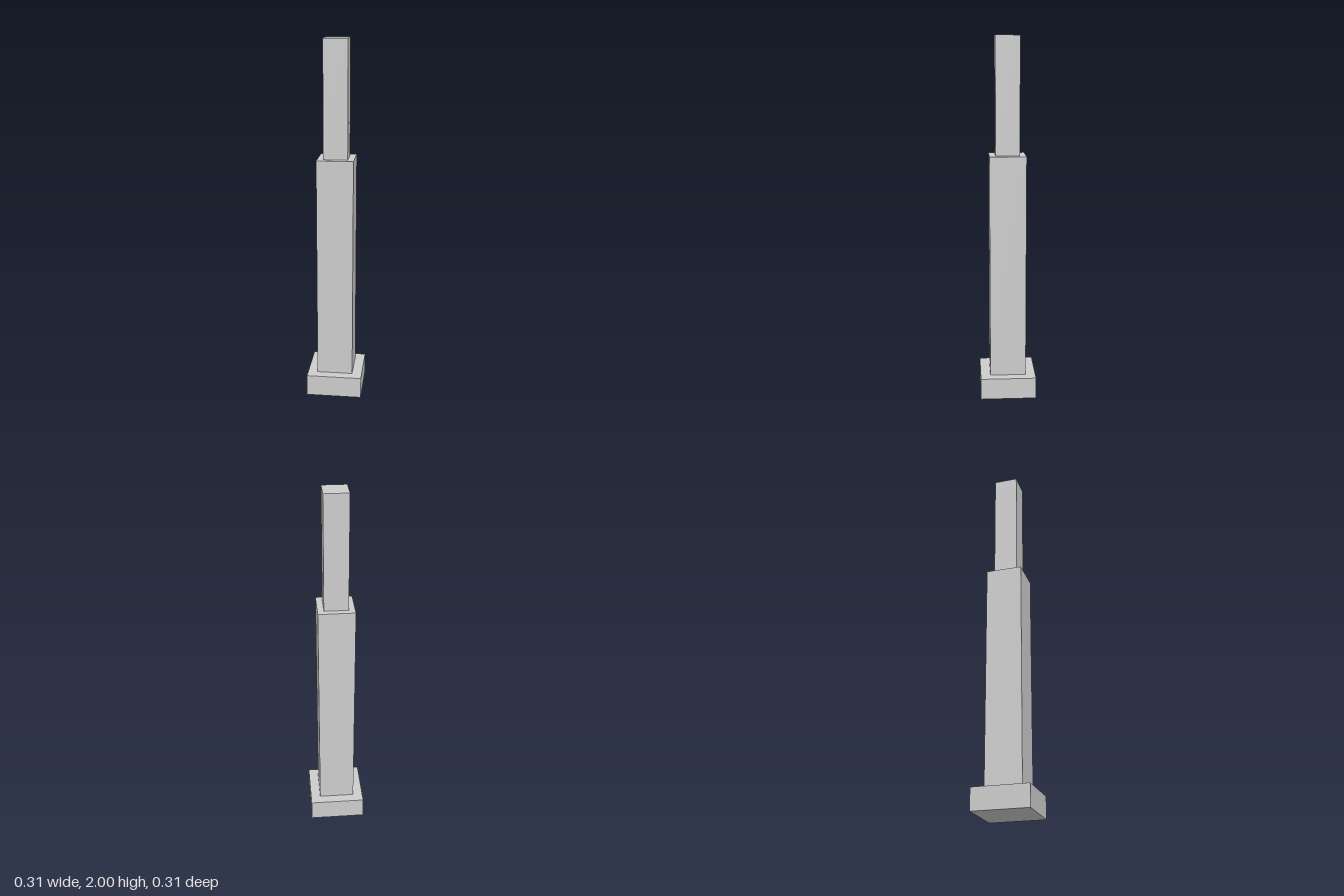
import * as THREE from 'three';

export function createModel() {
  const model = new THREE.Group();
  model.name = 'steppedPillar';
  const grey = new THREE.MeshStandardMaterial({ color: 0xcccccc });
  grey.name = 'grey';

  // Square block standing between two heights
  function block(name, width, bottom, top) {
    const mesh = new THREE.Mesh(new THREE.BoxGeometry(width, top - bottom, width), grey);
    mesh.name = name;
    mesh.position.y = (bottom + top) / 2;
    model.add(mesh);
  }
  block('base', 0.31, 0, 0.12);
  block('lowerShaft', 0.2, 0.12, 1.365);
  block('upperShaft', 0.132, 1.365, 2);

  // Tiny pin on one side of the upper shaft
  const pin = new THREE.Mesh(new THREE.CylinderGeometry(0.004, 0.004, 0.004, 8), grey);
  pin.name = 'pin';
  pin.rotation.z = -Math.PI / 2;
  pin.position.set(0.066, 1.555, 0);
  model.add(pin);

  return model;
}
